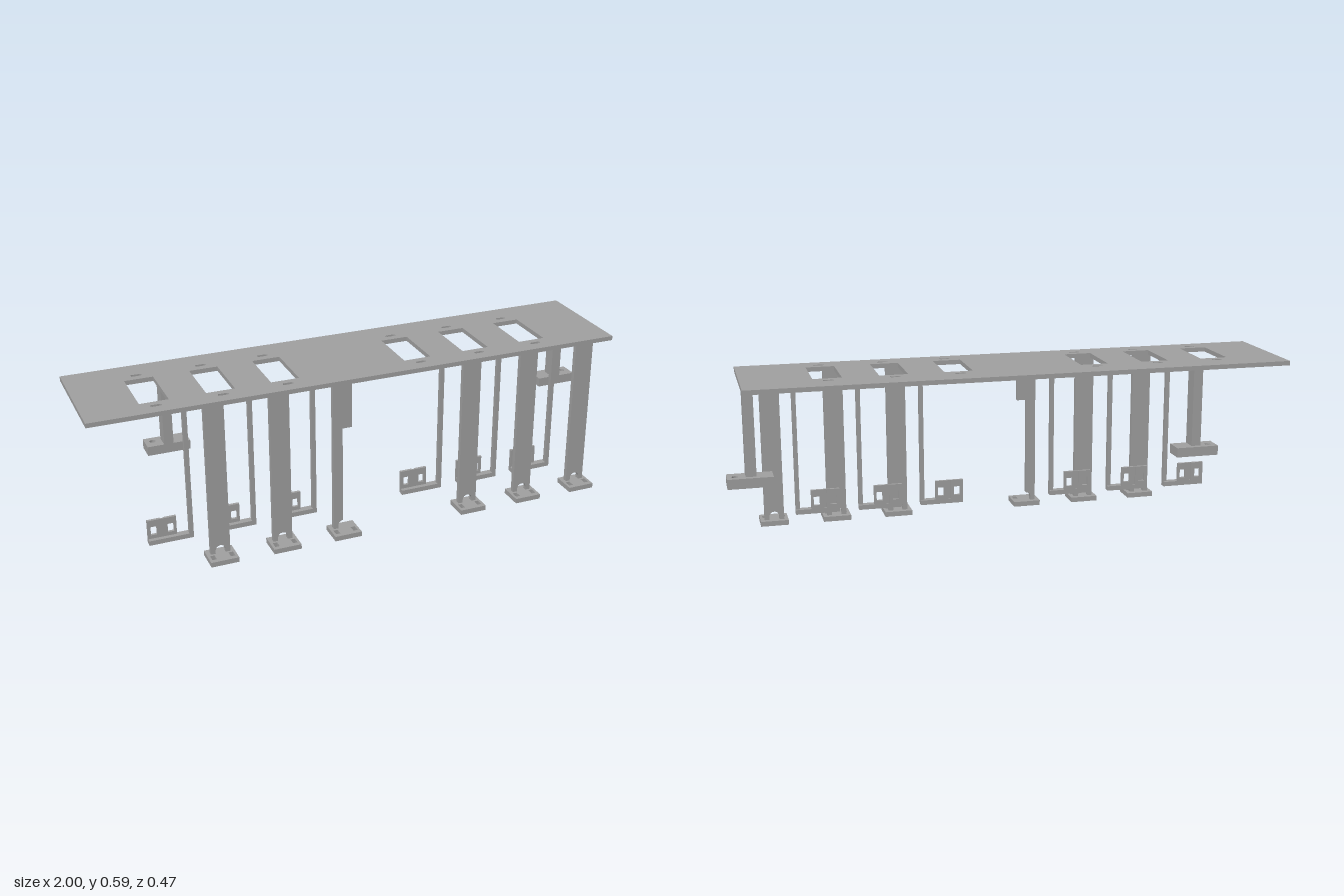
import * as THREE from 'three';

const steel = new THREE.MeshStandardMaterial({ color: 0xa0a0a0 });
steel.name = 'grey steel';

function trace(path, points) {
  points.forEach(([x, y], i) => (i ? path.lineTo(x, y) : path.moveTo(x, y)));
  path.closePath();
  return path;
}
const rect = (x0, x1, y0, y1) => [[x0, y0], [x1, y0], [x1, y1], [x0, y1]];

function addMesh(parent, name, geometry) {
  const mesh = new THREE.Mesh(geometry, steel);
  mesh.name = name;
  parent.add(mesh);
  return mesh;
}

function box(parent, name, x0, x1, y0, y1, z0, z1) {
  const mesh = addMesh(parent, name, new THREE.BoxGeometry(x1 - x0, y1 - y0, z1 - z0));
  mesh.position.set((x0 + x1) / 2, (y0 + y1) / 2, (z0 + z1) / 2);
}

function extrude(outline, holes, depth) {
  const shape = trace(new THREE.Shape(), outline);
  holes.forEach((h) => shape.holes.push(trace(new THREE.Path(), h)));
  return new THREE.ExtrudeGeometry(shape, { depth, bevelEnabled: false });
}

// Upright plate drawn in x and y
function upright(parent, name, outline, holes, z0, z1) {
  addMesh(parent, name, extrude(outline, holes, z1 - z0)).position.z = z0;
}

// Level plate drawn in x and z
function level(parent, name, outline, holes, y0, y1) {
  const geometry = extrude(outline, holes, y1 - y0).rotateX(Math.PI / 2);
  addMesh(parent, name, geometry).position.y = y1;
}

function circle(cx, cy, r, n = 16) {
  return Array.from({ length: n }, (_, i) => {
    const a = (i / n) * Math.PI * 2;
    return [cx + r * Math.cos(a), cy + r * Math.sin(a)];
  });
}

// Rounded slot lying along x
function slot(cx, cy, half, r) {
  const points = [];
  for (let i = 0; i <= 12; i++) {
    const a = -Math.PI / 2 + (i % 13) * (Math.PI / 6);
    if (i <= 6) points.push([cx + half - r + r * Math.cos(a), cy + r * Math.sin(a)]);
    if (i >= 6) points.push([cx - half + r + r * Math.cos(a), cy + r * Math.sin(a)]);
  }
  return points;
}

// Arch cut into the foot of a leg, listed from right to left
function arch(cx, y, r, from, to) {
  const points = [];
  for (let i = 0; i <= 8; i++) {
    const a = from + ((to - from) * i) / 8;
    points.push([cx + r * Math.cos(a), y + 0.012 + r * Math.sin(a)]);
  }
  return points;
}

export function createModel() {
  const model = new THREE.Group();
  model.name = 'mountingFrame';
  const bays = [-0.757, -0.53, -0.303, 0.189, 0.416, 0.643];
  const top = 0.572;

  // Deck with a window and two slots per bay
  const cuts = [];
  for (const c of bays) {
    cuts.push(rect(c - 0.05, c + 0.05, -0.1, 0.1));
    cuts.push(slot(c, -0.133, 0.019, 0.007), slot(c, 0.131, 0.019, 0.007));
  }
  level(model, 'deck', rect(-1, 0.935, -0.223, 0.181), cuts, top, 0.588);

  bays.forEach((c, i) => {
    const bay = new THREE.Group();
    bay.name = 'bay' + (i + 1);
    model.add(bay);

    // Front leg, the third one stepped to half its width
    const x = c + 0.176, l = x - 0.035, r = x + 0.035, y = 0.02;
    const outline = i === 2
      ? [[l, y], [x - 0.018, y], ...arch(x, y, 0.018, Math.PI, Math.PI / 2),
        [x, 0.41], [r, 0.41], [r, top], [l, top]]
      : [[l, y], [x - 0.018, y], ...arch(x, y, 0.018, Math.PI, 0),
        [x + 0.018, y], [r, y], [r, top], [l, top]];
    upright(bay, 'frontLeg', outline, [], 0.164, 0.181);

    // Foot with two bolt holes
    const boltHoles = [-1, 1].map((s) =>
      rect(x + s * 0.033 - 0.008, x + s * 0.033 + 0.008, 0.19, 0.217));
    level(bay, 'foot', rect(x - 0.05, x + 0.05, 0.146, 0.234), boltHoles, 0.002, y);

    // Hanging rod and the arm at its bottom
    box(bay, 'rod', c + 0.09, c + 0.105, 0.075, top, 0.09, 0.106);
    box(bay, 'arm', c - 0.052, c + 0.105, 0.058, 0.075, 0.08, 0.106);

    // Bracket: a thin web with two pads parted by a groove
    const holes = [-1, 1].map((s) => rect(c + s * 0.03 - 0.011, c + s * 0.03 + 0.011, 0.088, 0.12));
    upright(bay, 'bracketWeb', rect(c - 0.052, c + 0.05, 0.075, 0.145), holes, 0.085, 0.09);
    upright(bay, 'bracketPad', rect(c - 0.052, c - 0.005, 0.075, 0.145), [holes[0]], 0.08, 0.085);
    upright(bay, 'bracketPad', rect(c + 0.005, c + 0.05, 0.075, 0.145), [holes[1]], 0.08, 0.085);
  });

  // Rear legs on drilled blocks
  const rear = [
    { leg: [-0.67, -0.636], foot: [-0.73, -0.575], hole: -0.702 },
    { leg: [0.9, 0.935], foot: [0.845, 0.997], hole: 0.97 },
  ];
  for (const { leg, foot, hole } of rear) {
    box(model, 'rearLeg', leg[0], leg[1], 0.295, top, -0.214, -0.162);
    level(model, 'rearFoot', rect(foot[0], foot[1], -0.232, -0.162),
      [circle(hole, -0.203, 0.011)], 0.261, 0.295);
  }
  return model;
}
